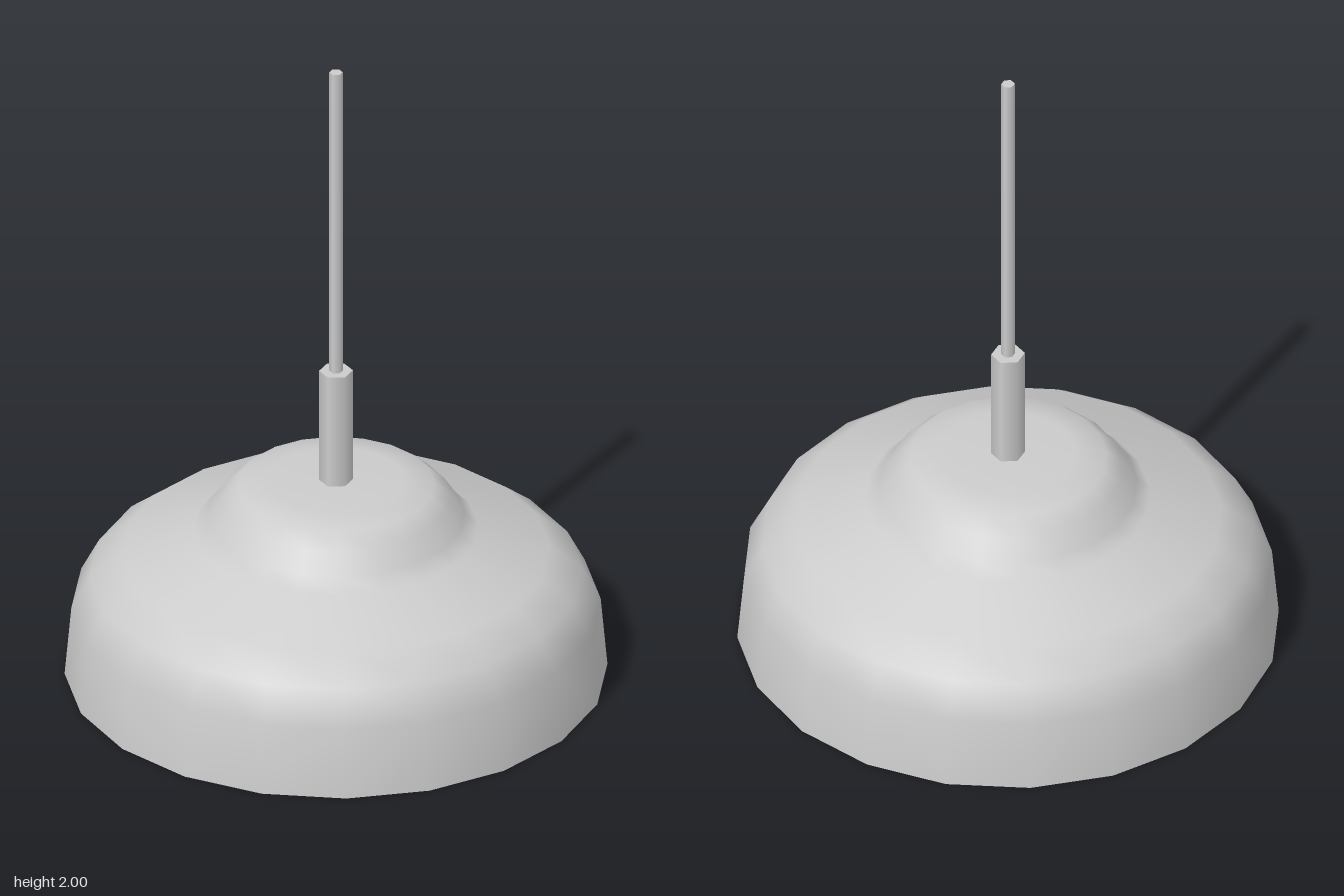
import * as THREE from 'three';
import { mergeGeometries } from 'three/addons/utils/BufferGeometryUtils.js';

const SIDES = 20;
const material = new THREE.MeshStandardMaterial({ color: 0xcccccc });

const lathe = (pts) =>
  new THREE.LatheGeometry(pts.map(([r, y]) => new THREE.Vector2(r, y)), SIDES);

// Turned shell with smooth outside and inside and a sharp bottom rim.
// The profile runs from the rim upward.
function shell(name, outer, wall, drop) {
  const inner = outer.map(([r, y], i) => [Math.max(0, r - wall), i === 0 ? y : y - drop]);
  const geometry = mergeGeometries([
    lathe(outer),
    lathe([inner[0], outer[0]]),
    lathe([...inner].reverse()),
  ]);
  const mesh = new THREE.Mesh(geometry, material);
  mesh.name = name;
  return mesh;
}

// Six-sided upright rod with corners on the x axis
function rod(name, radius, y0, y1) {
  const geometry = new THREE.CylinderGeometry(radius, radius, y1 - y0, 6, 1, false, Math.PI / 2);
  geometry.translate(0, (y0 + y1) / 2, 0);
  const mesh = new THREE.Mesh(geometry, material);
  mesh.name = name;
  return mesh;
}

export function createModel() {
  const lamp = new THREE.Group();
  lamp.name = 'pendantLamp';

  // Wide outer shade with a stepped crown
  lamp.add(shell('shade', [
    [0.8, 0], [0.78, 0.22], [0.725, 0.325], [0.63, 0.4], [0.42, 0.475],
    [0.38, 0.515], [0.34, 0.575], [0.29, 0.62], [0.2, 0.635], [0, 0.635],
  ], 0.015, 0.015));

  // Open inner shade, narrowing toward its lower mouth
  lamp.add(shell('innerShade', [
    [0.35, 0.03], [0.41, 0.08], [0.455, 0.14], [0.47, 0.21], [0.465, 0.32], [0.43, 0.45],
  ], 0.015, 0));

  // Socket sleeve and hanging cord
  lamp.add(rod('socketSleeve', 0.05, 0.62, 1));
  lamp.add(rod('cord', 0.02, 1, 2));

  return lamp;
}
